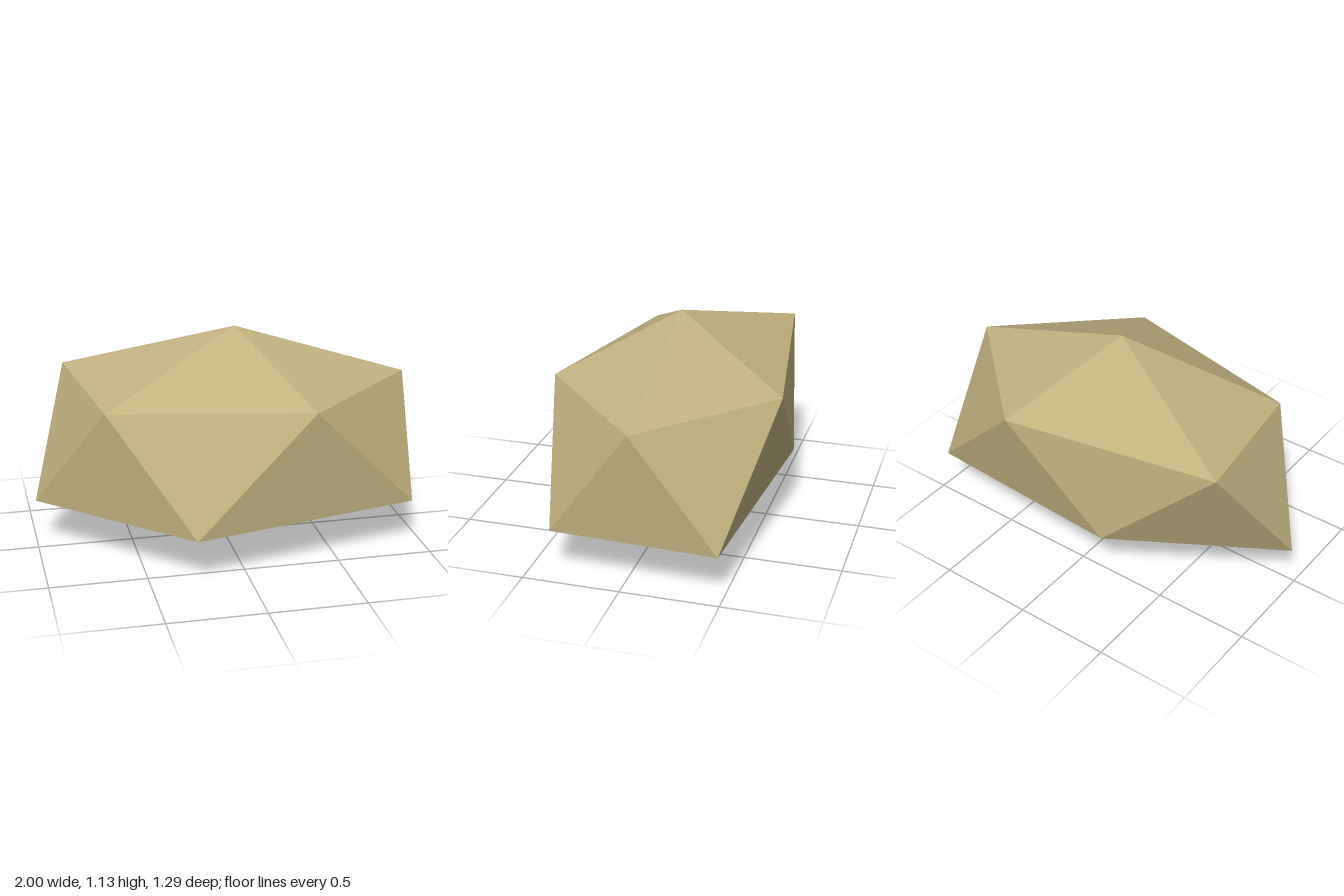
import * as THREE from 'three';

export function createModel() {
  const group = new THREE.Group();
  group.name = 'rock';
  const sand = new THREE.MeshStandardMaterial({ color: 0xc2b280, flatShading: true });
  sand.name = 'sand';

  // Two staggered rings of five corners between a peak and a base point
  const peak = [0.07, 1.135, -0.05];
  const base = [0.07, 0, -0.05];
  const upper = [
    [1.0, 0.83, -0.05], [0.36, 0.83, -0.645], [-0.79, 0.867, -0.465],
    [-0.67, 0.822, 0.305], [0.36, 0.828, 0.54],
  ];
  const lower = [
    [0.96, 0.237, -0.48], [-0.2, 0.303, -0.6], [-1.0, 0.245, -0.05],
    [-0.27, 0.24, 0.645], [0.935, 0.245, 0.375],
  ];

  // Each fifth has a cap face, two side faces and an underside face
  const corners = [];
  for (let i = 0; i < 5; i++) {
    const j = (i + 1) % 5;
    corners.push(peak, upper[i], upper[j]);
    corners.push(upper[i], lower[i], upper[j]);
    corners.push(lower[i], lower[j], upper[j]);
    corners.push(base, lower[j], lower[i]);
  }
  const geometry = new THREE.BufferGeometry();
  geometry.setAttribute('position', new THREE.Float32BufferAttribute(corners.flat(), 3));
  geometry.computeVertexNormals();

  const boulder = new THREE.Mesh(geometry, sand);
  boulder.name = 'boulder';
  group.add(boulder);
  return group;
}
